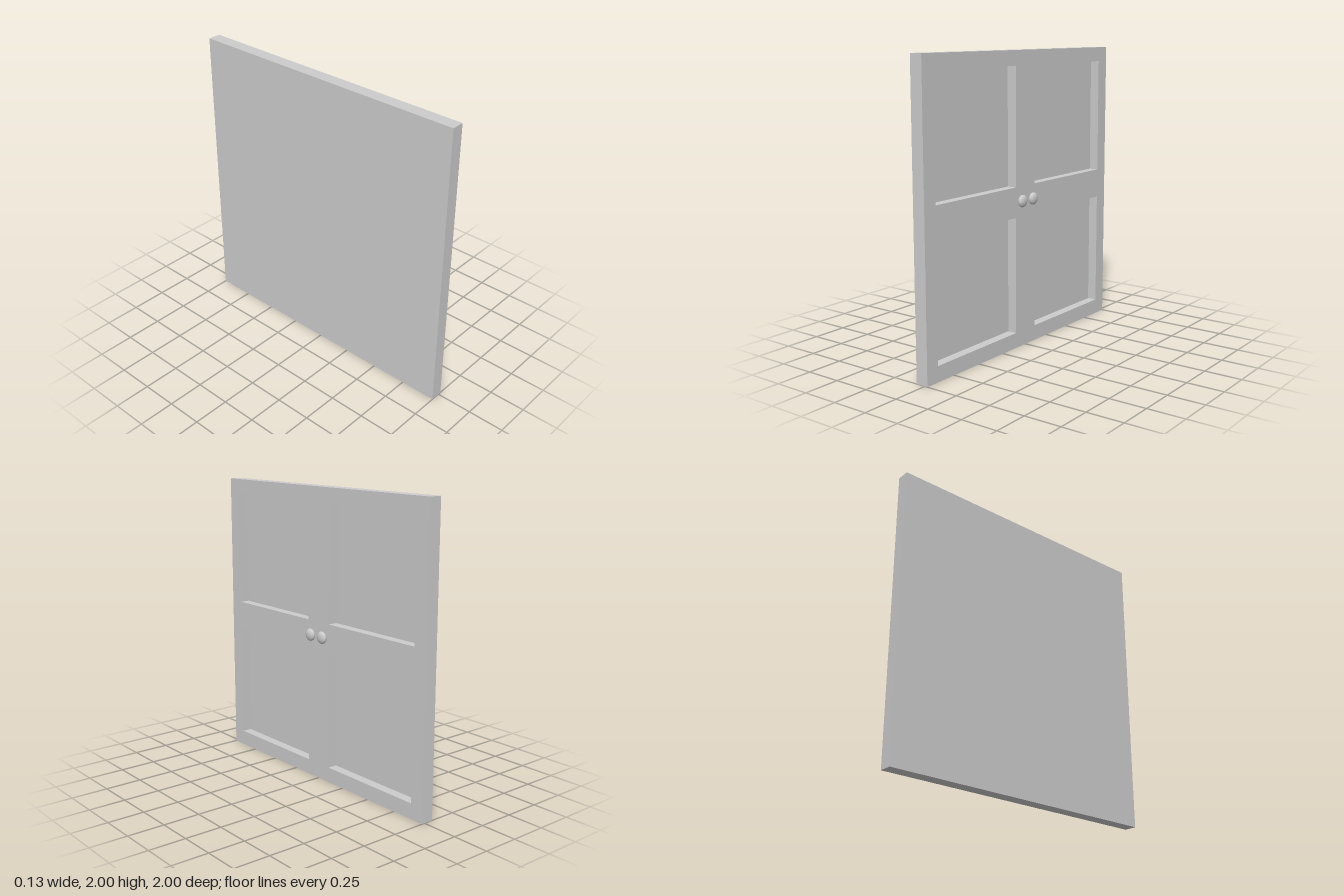
import * as THREE from 'three';

const BACK = -0.066, FLOOR = -0.046, FRONT = 0.022; // x levels of the door
const INNER = 0.105, OUTER = 0.9; // opening limits, measured from the centre lines
const SIZE = OUTER - INNER, MID = (OUTER + INNER) / 2;

export function createModel() {
  const group = new THREE.Group();
  const grey = new THREE.MeshStandardMaterial({ color: 0xcccccc });
  const pale = new THREE.MeshStandardMaterial({ color: 0xeeeeee });

  const add = (name, geometry, material, x, y, z) => {
    const mesh = new THREE.Mesh(geometry, material);
    mesh.name = name;
    mesh.position.set(x, y, z);
    group.add(mesh);
    return mesh;
  };
  const square = (T, u0, v0, w, h) => new T([
    new THREE.Vector2(u0, v0), new THREE.Vector2(u0 + w, v0),
    new THREE.Vector2(u0 + w, v0 + h), new THREE.Vector2(u0, v0 + h),
  ]);

  // Frame with four square openings, extruded towards +x
  const outline = square(THREE.Shape, -1, 0, 2, 2);
  for (const u of [-OUTER, INNER])
    for (const v of [INNER, 1 + INNER])
      outline.holes.push(square(THREE.Path, u, v, SIZE, SIZE));
  const frame = new THREE.ExtrudeGeometry(outline, { depth: FRONT - FLOOR, bevelEnabled: false });
  frame.rotateY(Math.PI / 2);
  add('frame', frame, grey, FLOOR, 0, 0);

  // Solid back board
  add('backBoard', new THREE.BoxGeometry(FLOOR - BACK, 2, 2), grey, (BACK + FLOOR) / 2, 1, 0);

  // Pale recessed panels
  const panel = new THREE.BoxGeometry(0.004, SIZE, SIZE);
  for (const z of [-MID, MID])
    for (const y of [MID, 1 + MID]) add('panel', panel, pale, FLOOR, y, z);

  // Pair of flattened round knobs
  const knob = new THREE.SphereGeometry(0.042, 32, 20);
  knob.rotateZ(Math.PI / 2);
  knob.scale(0.022 / 0.042, 1, 1);
  for (const z of [-0.06, 0.06]) add('knob', knob, grey, FRONT + 0.022, 1.01, z);

  return group;
}
